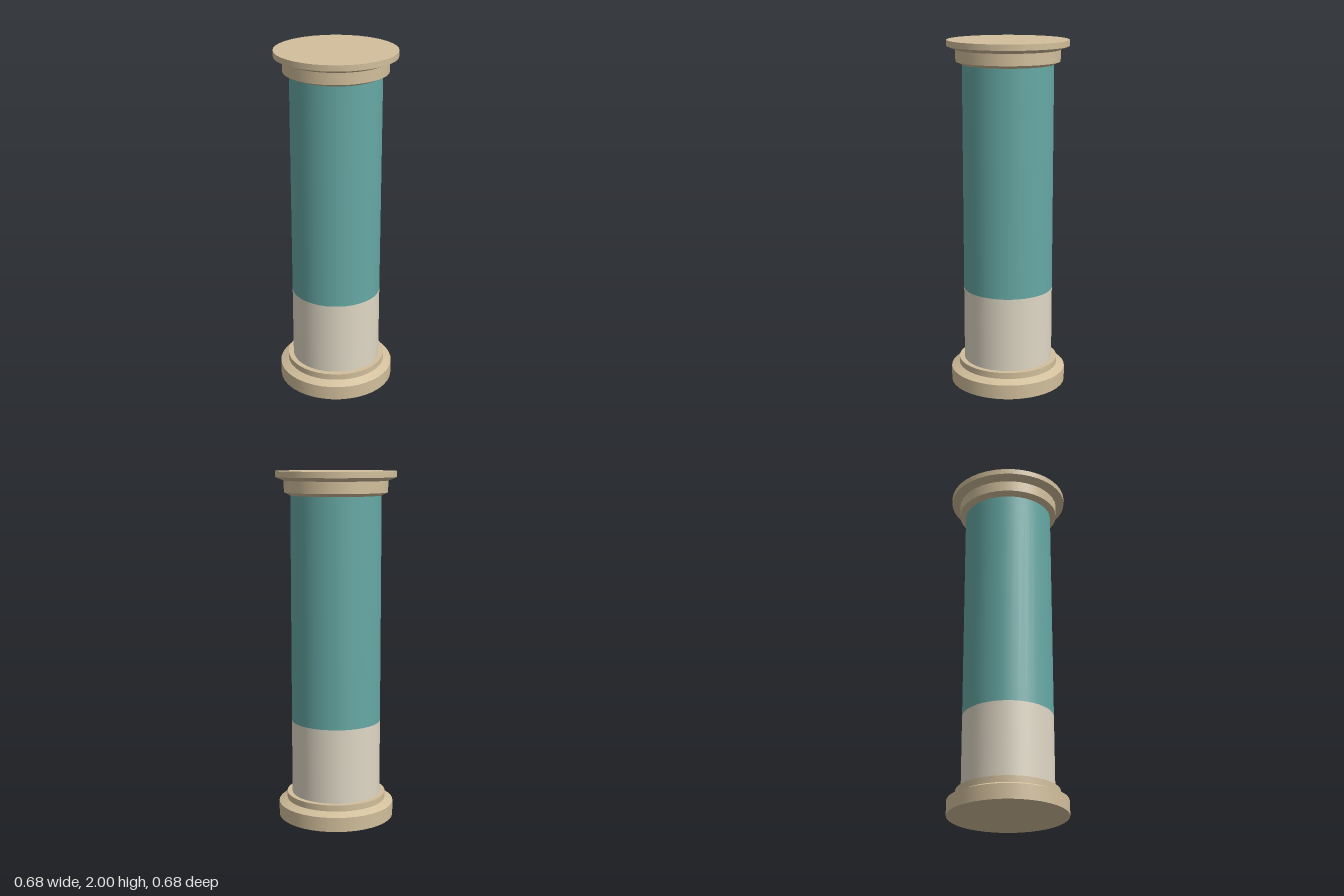
import * as THREE from 'three';

const SIDES = 40;

export function createModel() {
  const stone = new THREE.MeshStandardMaterial({ color: 0xd2bf9c });
  stone.name = 'tan stone';
  const cream = new THREE.MeshStandardMaterial({ color: 0xe0d8c6 });
  cream.name = 'cream paint';
  const teal = new THREE.MeshStandardMaterial({ color: 0x66a9a5 });
  teal.name = 'teal paint';

  const model = new THREE.Group();
  model.name = 'column';

  // One round band between two heights: smooth around, sharp at its rims
  function band(parent, name, material, r0, y0, r1, y1) {
    const geometry = new THREE.CylinderGeometry(r1, r0, y1 - y0, SIDES, 1, true);
    const mesh = new THREE.Mesh(geometry, material);
    mesh.name = name;
    mesh.position.y = (y0 + y1) / 2;
    parent.add(mesh);
  }

  // A flat disc or ring facing up (1) or down (-1)
  function flat(parent, name, inner, outer, y, facing) {
    const geometry = inner > 0
      ? new THREE.RingGeometry(inner, outer, SIDES)
      : new THREE.CircleGeometry(outer, SIDES);
    const mesh = new THREE.Mesh(geometry, stone);
    mesh.name = name;
    mesh.rotation.x = -facing * Math.PI / 2;
    mesh.position.y = y;
    parent.add(mesh);
  }

  // Base: plinth, sloped shoulder and collar
  const base = new THREE.Group();
  base.name = 'base';
  flat(base, 'baseUnderside', 0, 0.334, 0, -1);
  band(base, 'plinth', stone, 0.334, 0, 0.334, 0.083);
  band(base, 'baseShoulder', stone, 0.334, 0.083, 0.287, 0.104);
  band(base, 'baseCollar', stone, 0.287, 0.104, 0.287, 0.14);
  flat(base, 'baseLedge', 0.257, 0.287, 0.14, 1);

  // Shaft: cream lower part and teal upper part
  const shaft = new THREE.Group();
  shaft.name = 'shaft';
  band(shaft, 'lowerShaft', cream, 0.257, 0.14, 0.257, 0.57);
  band(shaft, 'upperShaft', teal, 0.257, 0.57, 0.257, 1.865);

  // Capital: flare, collar, second flare and top slab
  const capital = new THREE.Group();
  capital.name = 'capital';
  band(capital, 'lowerFlare', stone, 0.257, 1.865, 0.293, 1.882);
  band(capital, 'capitalCollar', stone, 0.293, 1.882, 0.293, 1.947);
  band(capital, 'upperFlare', stone, 0.293, 1.947, 0.342, 1.967);
  band(capital, 'topSlab', stone, 0.342, 1.967, 0.342, 2);
  flat(capital, 'topFace', 0, 0.342, 2, 1);

  model.add(base, shaft, capital);
  return model;
}
